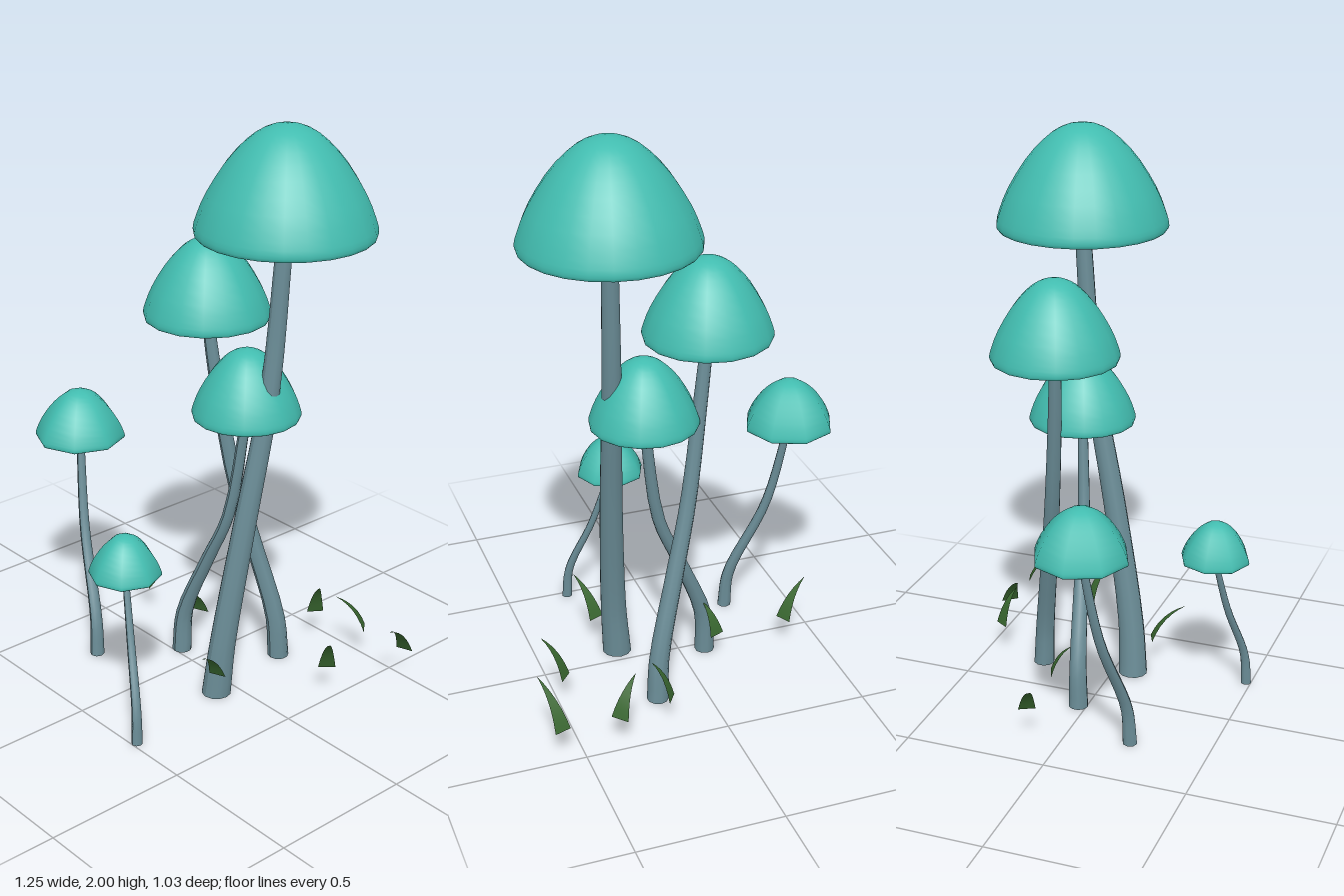
import * as THREE from 'three';

const mat = (name, color, side = THREE.FrontSide) => {
  const m = new THREE.MeshStandardMaterial({ color, side });
  m.name = name;
  return m;
};
const teal = mat('teal cap', 0x42bdb0);
const slate = mat('slate stem', 0x6a8c96);
const gillGrey = mat('dark gill', 0x4a636b, THREE.DoubleSide);
const green = mat('grass green', 0x38662f, THREE.DoubleSide);

const add = (parent, name, geometry, material) => {
  const mesh = new THREE.Mesh(geometry, material);
  mesh.name = name;
  parent.add(mesh);
  return mesh;
};

// Outline of a cap from rim to crown, in units of its radius and height
const CAP = [[0.95, 0.005], [0.985, 0.005], [1, 0.05], [0.97, 0.15], [0.86, 0.37], [0.64, 0.66],
  [0.4, 0.87], [0.2, 0.97], [0, 1]];
const UNDER = [[0, 0.38], [0.3, 0.3], [0.65, 0.16], [0.95, 0.005]];

function lathe(outline, r, h, sides) {
  return new THREE.LatheGeometry(outline.map(([x, y]) => new THREE.Vector2(x * r, y * h)), sides);
}

// Tapered stem: the rings of a cylinder are slid along a curve and stay level
function stemGeometry(path, r0, r1, sides) {
  const curve = new THREE.CatmullRomCurve3(path.map(p => new THREE.Vector3(...p)), false, 'centripetal');
  const g = new THREE.CylinderGeometry(1, 1, 1, sides, 16);
  const pos = g.attributes.position;
  for (let i = 0; i < pos.count; i++) {
    const t = THREE.MathUtils.clamp(pos.getY(i) + 0.5, 0, 1);
    const c = curve.getPoint(t);
    const r = THREE.MathUtils.lerp(r0, r1, t);
    pos.setXYZ(i, c.x + pos.getX(i) * r, c.y, c.z + pos.getZ(i) * r);
  }
  g.computeVertexNormals();
  return g;
}

// Thin upright fin hanging from the underside
function gillGeometry(r, h) {
  const s = new THREE.Shape();
  s.moveTo(0.1 * r, 0.36 * h);
  s.lineTo(0.14 * r, 0.28 * h);
  s.lineTo(0.6 * r, 0.1 * h);
  s.lineTo(0.93 * r, 0.015 * h);
  s.lineTo(0.65 * r, 0.17 * h);
  return new THREE.ShapeGeometry(s);
}

function mushroom({ name, path, r0, r1, r, h, sides, gills, stemSides }) {
  const group = new THREE.Group();
  group.name = name;
  add(group, 'stem', stemGeometry(path, r0, r1, stemSides), slate);

  const head = new THREE.Group();
  head.name = 'head';
  head.position.set(...path[path.length - 1]);
  group.add(head);
  const smooth = new THREE.SplineCurve(CAP.map(p => new THREE.Vector2(...p)))
    .getPoints(18).map(p => [Math.max(p.x, 0), p.y]);
  add(head, 'cap', lathe(smooth, r, h, sides), teal);
  add(head, 'underside', lathe(UNDER, r, h, sides), slate);

  // Narrow neck joining stem and underside
  const neck = add(head, 'neck', new THREE.CylinderGeometry(r1 * 0.65, r1 * 0.7, 0.38 * h, stemSides), slate);
  neck.position.y = 0.18 * h;

  const fin = gillGeometry(r, h);
  for (let i = 0; i < gills; i++) {
    add(head, 'gill', fin, gillGrey).rotation.y = ((i + 0.5) / gills) * Math.PI * 2;
  }
  return group;
}

// Curved grass blade that narrows from base to tip
function bladeGeometry(base, tip, width) {
  const a = new THREE.Vector3(...base), b = new THREE.Vector3(...tip);
  const mid = a.clone().lerp(b, 0.3).setY(a.y + (b.y - a.y) * 0.75);
  const curve = new THREE.QuadraticBezierCurve3(a, mid, b);
  const across = new THREE.Vector3(b.z - a.z, 0, a.x - b.x).normalize();
  const g = new THREE.PlaneGeometry(1, 1, 1, 6);
  const pos = g.attributes.position;
  for (let i = 0; i < pos.count; i++) {
    const t = pos.getY(i) + 0.5;
    const p = curve.getPoint(t).addScaledVector(across, pos.getX(i) * width * (1 - t));
    pos.setXYZ(i, p.x, p.y, p.z);
  }
  g.computeVertexNormals();
  return g;
}

const MUSHROOMS = [
  { name: 'tallMushroom', r0: 0.052, r1: 0.028, r: 0.296, h: 0.36, sides: 24, gills: 20, stemSides: 12,
    path: [[0.21, 0, 0.07], [0.225, 0.2, 0.055], [0.25, 0.65, -0.02], [0.268, 1.1, -0.105], [0.28, 1.64, -0.15]] },
  { name: 'secondMushroom', r0: 0.038, r1: 0.021, r: 0.218, h: 0.28, sides: 16, gills: 16, stemSides: 10,
    path: [[0.17, 0, -0.265], [0.16, 0.16, -0.255], [0.09, 0.44, -0.21], [0.025, 0.7, -0.17],
      [-0.03, 1.05, -0.135], [-0.06, 1.275, -0.12]] },
  { name: 'middleMushroom', r0: 0.035, r1: 0.018, r: 0.185, h: 0.24, sides: 16, gills: 14, stemSides: 10,
    path: [[-0.09, 0, -0.03], [-0.08, 0.16, -0.035], [0.015, 0.4, -0.06], [0.1, 0.6, -0.08], [0.157, 0.985, -0.105]] },
  { name: 'rightMushroom', r0: 0.026, r1: 0.014, r: 0.16, h: 0.18, sides: 8, gills: 10, stemSides: 8,
    path: [[-0.265, 0, 0.225], [-0.278, 0.14, 0.217], [-0.4, 0.44, 0.165], [-0.465, 0.765, 0.125]] },
  { name: 'smallMushroom', r0: 0.019, r1: 0.011, r: 0.122, h: 0.145, sides: 8, gills: 8, stemSides: 8,
    path: [[0.275, 0, 0.482], [0.265, 0.12, 0.475], [0.185, 0.33, 0.43], [0.122, 0.545, 0.398]] },
];

// Base, tip and width of each blade
const BLADES = [
  [[0.27, 0.115, 0.12], [0.32, 0.245, 0.235], 0.06],
  [[-0.36, 0.115, -0.115], [-0.465, 0.24, -0.06], 0.06],
  [[0.38, 0.115, -0.49], [0.3, 0.235, -0.42], 0.065],
  [[0.575, 0.115, -0.49], [0.622, 0.255, -0.355], 0.06],
  [[0.18, 0.115, -0.44], [0.24, 0.25, -0.4], 0.06],
  [[-0.1, 0.115, -0.13], [-0.07, 0.22, -0.06], 0.06],
  [[0.48, 0.115, -0.2], [0.55, 0.255, -0.14], 0.06],
];

export function createModel() {
  const model = new THREE.Group();
  model.name = 'mushroomCluster';
  MUSHROOMS.forEach(m => model.add(mushroom(m)));
  const grass = new THREE.Group();
  grass.name = 'grass';
  BLADES.forEach(b => add(grass, 'grassBlade', bladeGeometry(...b), green));
  model.add(grass);
  return model;
}
